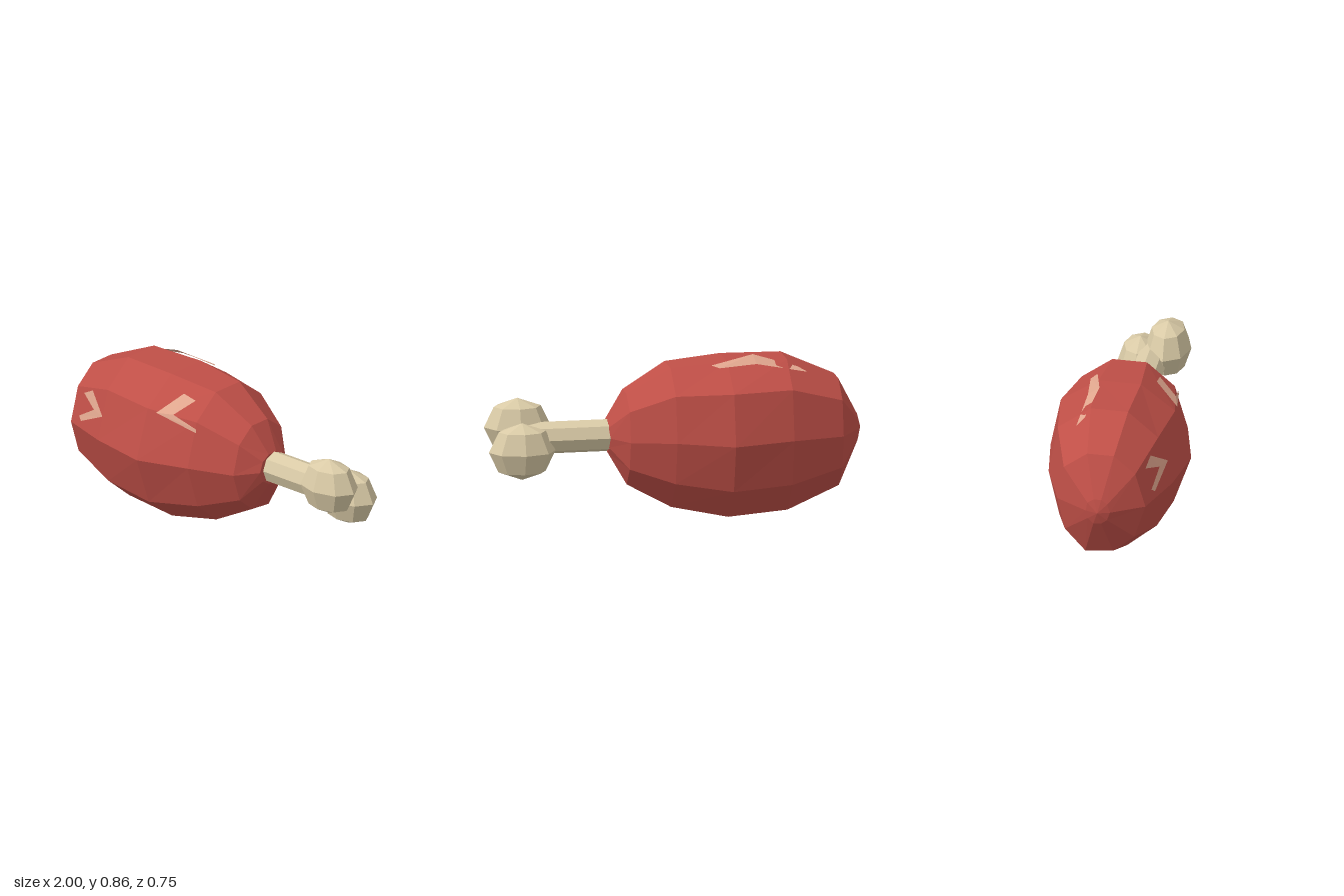
import * as THREE from 'three';

const paint = (color) => new THREE.MeshStandardMaterial({ color, flatShading: true });

// Ten-sided cross-section as [z, y] on a unit circle, running from +z over the top
const SECTION = [[1, 0], [0.77, 0.62], [0.285, 0.945], [-0.32, 0.954], [-0.853, 0.655],
  [-1, 0.03], [-0.827, -0.56], [-0.365, -0.958], [0.267, -0.92], [0.75, -0.61]];

// Rings along the meat: [x, centre y, half height, half depth]
const RINGS = [[-1, 0.43, 0, 0], [-0.98, 0.43, 0.075, 0.065], [-0.87, 0.425, 0.3, 0.235],
  [-0.59, 0.43, 0.423, 0.33], [-0.27, 0.42, 0.435, 0.375], [0.03, 0.437, 0.39, 0.305],
  [0.26, 0.43, 0.255, 0.2], [0.355, 0.44, 0.09, 0.095], [0.355, 0.44, 0, 0]];

function geometryFrom(triangles) {
  const g = new THREE.BufferGeometry();
  g.setAttribute('position', new THREE.Float32BufferAttribute(triangles.flat(), 3));
  g.computeVertexNormals();
  return g;
}

function meatGeometry() {
  const n = SECTION.length;
  const point = (i, k) => {
    const [x, cy, h, d] = RINGS[i];
    const [z, y] = SECTION[k % n];
    return [x, cy + y * h, z * d];
  };
  const tris = [];
  for (let i = 0; i < RINGS.length - 1; i++) {
    for (let k = 0; k < n; k++) {
      const a = point(i, k), b = point(i + 1, k), c = point(i + 1, k + 1), d = point(i, k + 1);
      if (i < RINGS.length - 2) tris.push(a, b, c);
      if (i > 0) tris.push(a, c, d);
    }
  }
  return geometryFrom(tris);
}

// A thin V made of two arms; points: tip, tip, inner corner, tip, tip, apex
function chevron(name, [a, b, inner, c, d, apex], material) {
  const mesh = new THREE.Mesh(
    geometryFrom([a, apex, inner, a, inner, b, apex, d, c, apex, c, inner]), material);
  mesh.name = name;
  return mesh;
}

export function createModel() {
  const group = new THREE.Group();
  group.name = 'meatOnBone';
  const bone = paint(0xd9caa6);
  const fat = paint(0xe0a68e);
  fat.side = THREE.DoubleSide;

  const meat = new THREE.Mesh(meatGeometry(), paint(0xbf4f47));
  meat.name = 'meat';
  group.add(meat);

  // Bone shaft
  const shaft = new THREE.Mesh(new THREE.CylinderGeometry(0.086, 0.086, 0.5, 8), bone);
  shaft.name = 'boneShaft';
  shaft.rotation.z = Math.PI / 2;
  shaft.position.set(0.55, 0.443, -0.015);
  group.add(shaft);

  // Two knobs at the end of the bone
  for (const [name, y, z] of [['frontKnob', 0.493, 0.063], ['backKnob', 0.39, -0.085]]) {
    const knob = new THREE.Mesh(new THREE.SphereGeometry(1, 8, 4), bone);
    knob.name = name;
    knob.scale.set(0.178, 0.153, 0.123);
    knob.position.set(0.82, y, z);
    group.add(knob);
  }

  // Front fat marks, dropped onto the meat from the front and lifted slightly
  const ray = new THREE.Raycaster();
  const onFront = ([x, y]) => {
    ray.set(new THREE.Vector3(x, y, 2), new THREE.Vector3(0, 0, -1));
    const hit = ray.intersectObject(meat)[0];
    return hit.point.addScaledVector(hit.face.normal, 0.01).toArray();
  };
  group.add(chevron('frontFatMark', [[-0.125, 0.77], [-0.04, 0.755], [-0.11, 0.685],
    [0.035, 0.645], [0.04, 0.625], [-0.21, 0.68]].map(onFront), fat));
  group.add(chevron('sideFatMark', [[-0.71, 0.645], [-0.785, 0.605], [-0.665, 0.56],
    [-0.79, 0.485], [-0.765, 0.465], [-0.58, 0.555]].map(onFront), fat));

  // Top fat mark, its apex standing proud of the meat
  group.add(chevron('topFatMark', [[-0.64, 0.8, -0.13], [-0.69, 0.775, -0.165],
    [-0.42, 0.825, -0.15], [-0.22, 0.815, -0.17], [-0.18, 0.825, -0.14],
    [-0.41, 0.865, -0.09]], fat));
  return group;
}
